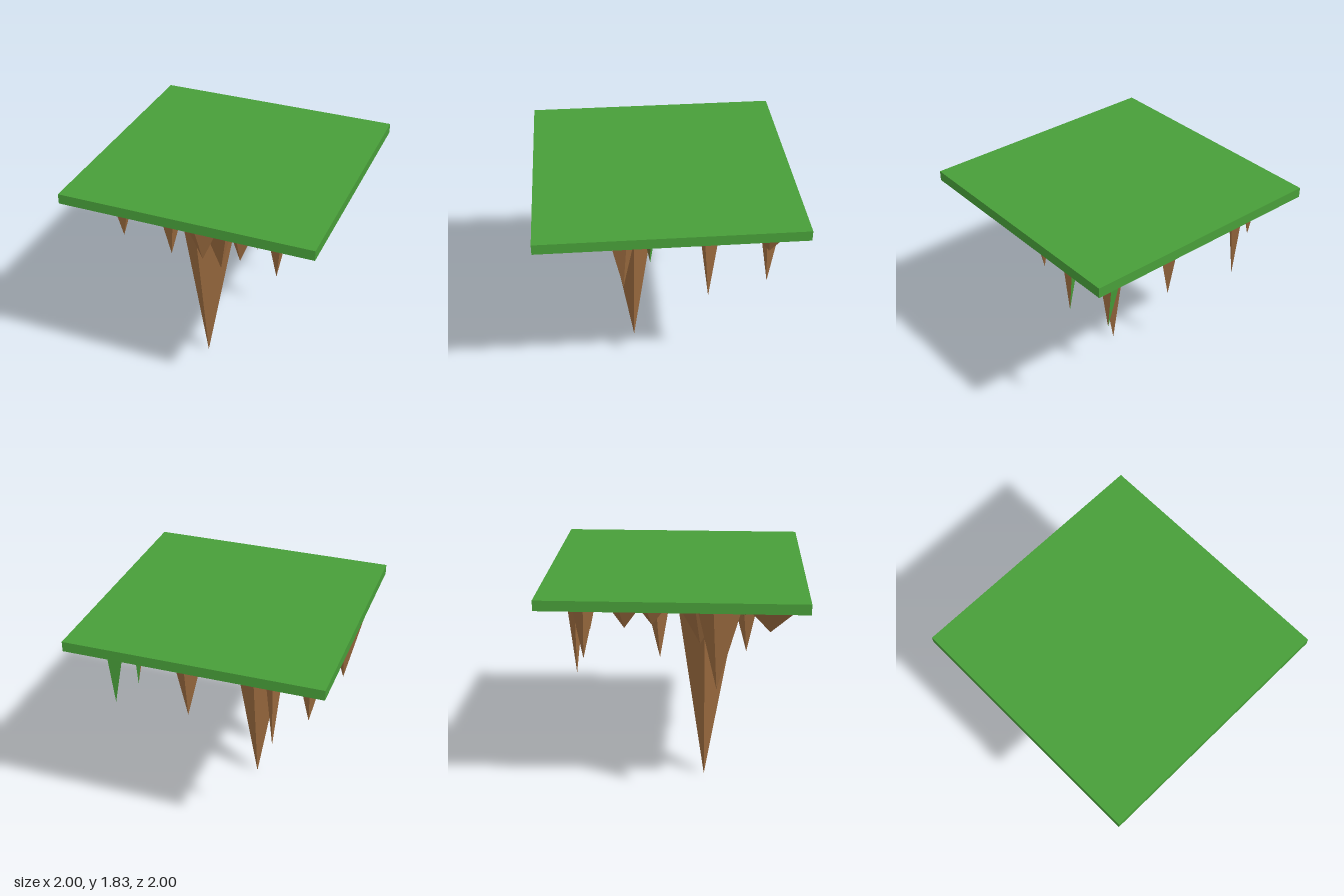
import * as THREE from 'three';

const grass = new THREE.MeshStandardMaterial({ color: 0x489e39 });
grass.name = 'grass green';
const earth = new THREE.MeshStandardMaterial({ color: 0x9b6b3f });
earth.name = 'earth brown';
const moss = new THREE.MeshStandardMaterial({ color: 0x6c6f37 });
moss.name = 'mossy brown';
const palette = [earth, moss, grass];

const SOFFIT = 1.745;

let seed = 11;
const rand = () => (seed = (seed * 16807) % 2147483647) / 2147483647;
const clamp = (v) => Math.max(-0.995, Math.min(0.995, v));

// Splits faces for flat shading and gives each triangle a material index
function faceted(geometry, pick) {
  const g = geometry.toNonIndexed();
  g.computeVertexNormals();
  g.clearGroups();
  const p = g.attributes.position;
  for (let i = 0; i < p.count; i += 3) {
    const x = (p.getX(i) + p.getX(i + 1) + p.getX(i + 2)) / 3;
    const z = (p.getZ(i) + p.getZ(i + 1) + p.getZ(i + 2)) / 3;
    g.addGroup(i, 3, pick(i / 3, x, z));
  }
  return g;
}

// Hanging spike: tip position, base radius, base offset, turn, and material index per face.
// Base corners run from -z through +x, +z and -x.
function makeSpike({ x, z, y, r, dx = 0, dz = 0, sides = 4, spin = (rand() - 0.5) * 0.5, scale, paint = {} }) {
  const g = new THREE.ConeGeometry(r, SOFFIT - y, sides, 1, true);
  g.rotateX(Math.PI);
  g.rotateY(spin);
  const p = g.attributes.position;
  const stretch = scale ?? Array.from({ length: sides }, () => 0.85 + rand() * 0.35);
  for (let i = 0; i < p.count; i++) {
    if (p.getY(i) < 0) p.setXYZ(i, x, y, z);
    else {
      const s = stretch[(i % (sides + 1)) % sides];
      p.setXYZ(i, clamp(x + dx + p.getX(i) * s), SOFFIT + 0.005, clamp(z + dz + p.getZ(i) * s));
    }
  }
  return new THREE.Mesh(faceted(g, (f) => paint[f] ?? 0), palette);
}

export function createModel() {
  const group = new THREE.Group();
  group.name = 'floatingIsland';

  // Flat grass slab
  const slab = new THREE.Mesh(new THREE.BoxGeometry(2, 0.08, 2), grass);
  slab.position.y = 1.785;
  slab.name = 'grassSlab';
  group.add(slab);

  // Faceted underside with a few mossy patches
  const N = 8;
  const under = new THREE.PlaneGeometry(2, 2, N, N);
  under.rotateX(Math.PI / 2);
  const p = under.attributes.position;
  for (let i = 0; i < p.count; i++) {
    const x = p.getX(i), z = p.getZ(i);
    const edge = Math.max(Math.abs(x), Math.abs(z)) > 0.99;
    const drop = edge ? rand() * 0.01 : 0.02 + rand() * 0.07;
    const j = edge ? 0 : 0.09;
    p.setXYZ(i, x + (rand() - 0.5) * j, SOFFIT - drop, z + (rand() - 0.5) * j);
  }
  const patches = [[0.9, 0.65, 0.2], [0.5, 0.2, 0.14], [0.2, -0.4, 0.14], [0.72, -0.5, 0.1]];
  const mossy = (f, x, z) => {
    const d = Math.min(...patches.map(([a, b, r]) => Math.hypot(x - a, z - b) / r));
    return d < 0.65 ? 2 : d < 1 ? 1 : 0;
  };
  const underside = new THREE.Mesh(faceted(under, mossy), palette);
  underside.name = 'rockUnderside';
  group.add(underside);

  // Great central spike
  const main = makeSpike({ x: -0.14, z: 0.23, y: 0, r: 0.3, spin: 0, scale: [0.85, 1.08, 0.98, 0.98] });
  main.name = 'mainSpike';
  group.add(main);

  // Long and medium spikes
  const spikes = [
    { x: -0.84, z: 0.33, y: 1.09, r: 0.18, dx: 0.02, sides: 5 },
    { x: -0.56, z: -0.76, y: 1.09, r: 0.08 },
    { x: -0.3, z: 0.56, y: 1.19, r: 0.14, sides: 5 },
    { x: 0.12, z: 0.56, y: 1.16, r: 0.2, dx: -0.03, sides: 5 },
    { x: 0.25, z: 0.11, y: 1.07, r: 0.11, spin: 0, paint: { 0: 2, 1: 1 } },
    { x: 0.5, z: 0.34, y: 1.03, r: 0.15, sides: 5 },
    { x: 0.73, z: -0.3, y: 1.08, r: 0.09, dx: -0.04, spin: -0.55, paint: { 3: 2 } },
    { x: 0.72, z: -0.75, y: 1.19, r: 0.1, dx: -0.02, spin: -0.45, paint: { 3: 2 } },
    { x: 0.12, z: -0.74, y: 1.2, r: 0.12 },
    { x: -0.81, z: -0.67, y: 1.31, r: 0.09 },
    { x: -0.56, z: -0.11, y: 1.23, r: 0.1, dz: -0.03 },
    { x: -0.62, z: 0.2, y: 1.37, r: 0.19, sides: 5 },
    { x: 0.09, z: 0.84, y: 1.42, r: 0.14, dz: 0.03 },
    { x: 0.34, z: 0.72, y: 1.39, r: 0.14, dx: 0.02 },
    { x: 0.3, z: -0.06, y: 1.4, r: 0.1 },
    { x: 0.1, z: -0.46, y: 1.45, r: 0.15 },
    { x: -0.6, z: -0.38, y: 1.48, r: 0.18, sides: 5 },
    { x: -0.46, z: 0.1, y: 1.54, r: 0.12 },
    { x: 0.87, z: -0.72, y: 1.58, r: 0.13 },
    { x: 0.8, z: 0.32, y: 1.63, r: 0.15 },
    { x: 0.75, z: -0.1, y: 1.63, r: 0.13 },
    { x: 0.2, z: 0.62, y: 1.5, r: 0.14, spin: 0.3, paint: { 0: 1, 1: 1 } },
    { x: -0.83, z: 0.72, y: 1.55, r: 0.19, sides: 5 },
    { x: -0.55, z: 0.68, y: 1.62, r: 0.17, sides: 5 },
    { x: -0.3, z: -0.25, y: 1.55, r: 0.15 },
    { x: 0.45, z: -0.55, y: 1.52, r: 0.14 },
    { x: -0.2, z: -0.65, y: 1.6, r: 0.13 },
    { x: -0.85, z: -0.15, y: 1.6, r: 0.13 },
  ];
  const hanging = new THREE.Group();
  hanging.name = 'hangingSpikes';
  for (const s of spikes) {
    const m = makeSpike(s);
    m.name = 'spike';
    hanging.add(m);
  }
  group.add(hanging);
  return group;
}
